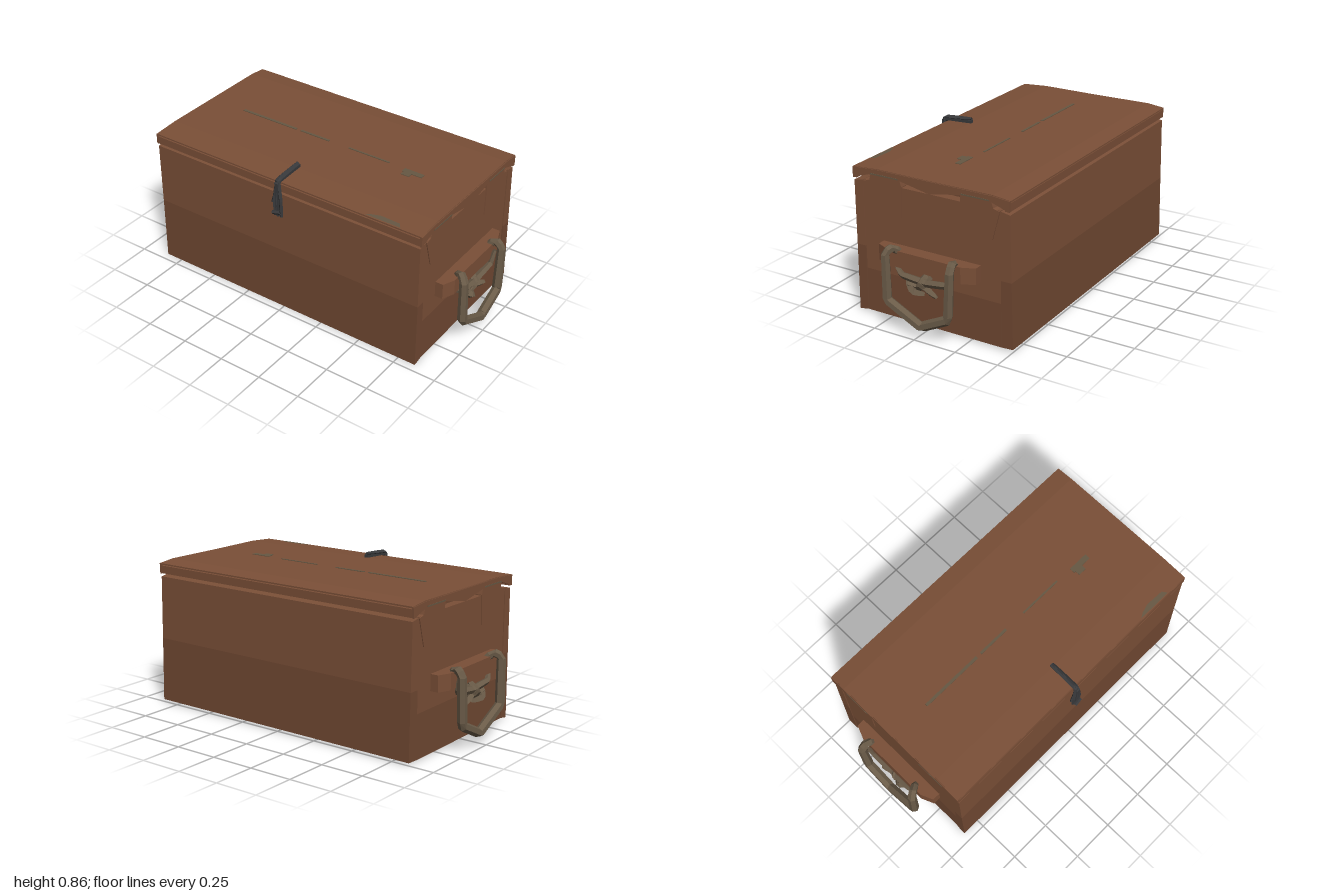
import * as THREE from 'three';

const mat = (name, color, side = THREE.FrontSide) => {
  const m = new THREE.MeshStandardMaterial({ color, side });
  m.name = name;
  m.flatShading = true;
  return m;
};

export function createModel() {
  const root = new THREE.Group();
  root.name = 'chest';
  const wood = mat('brown wood', 0x7a4f37);
  const woodDark = mat('shaded wood', 0x704832);
  const floorWood = mat('dark floor wood', 0x4f3727);
  const rope = mat('worn handle', 0x6a5b48, THREE.DoubleSide);
  const iron = mat('dark iron', 0x38393b, THREE.DoubleSide);
  const patch = mat('worn patch', 0x665743, THREE.DoubleSide);

  const add = (parent, name, geo, m) => {
    const mesh = new THREE.Mesh(geo, m);
    mesh.name = name;
    parent.add(mesh);
    return mesh;
  };
  const box = (parent, name, m, x0, x1, y0, y1, z0, z1) =>
    add(parent, name, new THREE.BoxGeometry(x1 - x0, y1 - y0, z1 - z0), m)
      .position.set((x0 + x1) / 2, (y0 + y1) / 2, (z0 + z1) / 2);
  // Extrudes a [z, y] outline from x0 to x1
  const slab = (parent, name, m, pts, x0, x1) => {
    const shape = new THREE.Shape(pts.map(([z, y]) => new THREE.Vector2(-z, y)));
    const geo = new THREE.ExtrudeGeometry(shape, { depth: x1 - x0, bevelEnabled: false });
    geo.rotateY(Math.PI / 2).translate(x0, 0, 0);
    return add(parent, name, geo, m);
  };
  // Angular rod through a few points, optionally tapering to its ends
  const rod = (parent, name, m, pts, r, sides = 6, taper = 0) => {
    const path = new THREE.CurvePath();
    const v = pts.map((p) => new THREE.Vector3(...p));
    for (let i = 1; i < v.length; i++) path.add(new THREE.LineCurve3(v[i - 1], v[i]));
    const n = v.length * 5;
    const geo = new THREE.TubeGeometry(path, n, r, sides, false);
    const pos = geo.attributes.position;
    const p = new THREE.Vector3();
    for (let i = 0; i <= n; i++) {
      const c = path.getPointAt(i / n);
      const s = 1 - taper * Math.abs((2 * i) / n - 1) ** 3;
      for (let j = 0; j <= sides; j++) {
        const k = i * (sides + 1) + j;
        p.fromBufferAttribute(pos, k).sub(c).multiplyScalar(s).add(c);
        pos.setXYZ(k, p.x, p.y, p.z);
      }
    }
    geo.computeVertexNormals();
    return add(parent, name, geo, m);
  };

  // Front and back walls, two planks each
  const body = new THREE.Group();
  body.name = 'body';
  root.add(body);
  slab(body, 'frontUpperPlank', wood, [[0.452, 0.38], [0.452, 0.74], [0.4, 0.748], [0.4, 0.38]], -0.853, 0.853);
  slab(body, 'frontLowerPlank', woodDark, [[0.454, 0.002], [0.452, 0.38], [0.4, 0.38], [0.4, 0.012]], -0.853, 0.853);
  slab(body, 'backUpperPlank', wood, [[-0.432, 0.38], [-0.432, 0.748], [-0.485, 0.738], [-0.492, 0.38]], -0.853, 0.853);
  slab(body, 'backLowerPlank', woodDark, [[-0.432, 0.012], [-0.432, 0.38], [-0.492, 0.38], [-0.5, 0.016]], -0.853, 0.853);
  box(body, 'floor', floorWood, -0.81, 0.81, 0.022, 0.04, -0.432, 0.4);

  // Lid top with slightly dropped edges, and front and back bands
  const lid = new THREE.Group();
  lid.name = 'lid';
  root.add(lid);
  slab(lid, 'lidFrontPlank', wood, [[0.453, 0.815], [0.3, 0.825], [-0.018, 0.824], [-0.018, 0.815], [0.3, 0.815], [0.453, 0.807]], -0.857, 0.857);
  slab(lid, 'lidBackPlank', wood, [[-0.018, 0.824], [-0.39, 0.826], [-0.49, 0.815], [-0.49, 0.807], [-0.39, 0.815], [-0.018, 0.815]], -0.857, 0.857);
  box(lid, 'frontBand', wood, -0.862, 0.862, 0.757, 0.801, 0.43, 0.454);
  box(lid, 'backBand', wood, -0.862, 0.862, 0.757, 0.801, -0.486, -0.46);

  for (const s of [1, -1]) {
    const end = new THREE.Group();
    end.name = s > 0 ? 'leftEnd' : 'rightEnd';
    end.scale.x = s;
    root.add(end);

    // End wall of three planks with raised tabs under the lid
    box(end, 'lowerEndPlank', woodDark, 0.8, 0.85, 0.01, 0.253, -0.428, 0.396);
    box(end, 'middleEndPlank', wood, 0.8, 0.85, 0.253, 0.5, -0.428, 0.396);
    box(end, 'upperEndPlank', wood, 0.8, 0.85, 0.5, 0.75, -0.428, 0.396);
    slab(end, 'frontTab', wood, [[0.35, 0.59], [0.395, 0.745], [0.355, 0.755], [0.345, 0.79], [0.165, 0.79], [0.155, 0.755], [0.163, 0.59]], 0.815, 0.855);
    slab(end, 'backTab', wood, [[-0.195, 0.59], [-0.2, 0.79], [-0.38, 0.79], [-0.39, 0.755], [-0.427, 0.745], [-0.385, 0.59]], 0.815, 0.855);

    // Scalloped lid skirt
    slab(end, 'lidSkirt', wood, [[0.454, 0.755], [0.35, 0.79], [0.16, 0.79], [-0.02, 0.755], [-0.2, 0.79],
      [-0.38, 0.79], [-0.486, 0.755], [-0.488, 0.813], [-0.39, 0.822], [0.3, 0.822], [0.454, 0.813]], 0.85, 0.862);
    box(end, 'skirtWear', patch, 0.861, 0.864, 0.792, 0.799, 0.17, 0.34);
    box(end, 'skirtWear', patch, 0.861, 0.864, 0.792, 0.799, -0.37, -0.21);

    // Bar that carries the handle, chamfered at both ends
    const outline = new THREE.Shape([[0.85, 0.28], [0.895, 0.28], [0.925, 0.21], [0.925, -0.24], [0.895, -0.313], [0.85, -0.313]]
      .map(([x, z]) => new THREE.Vector2(x, -z)));
    const bar = new THREE.ExtrudeGeometry(outline, { depth: 0.09, bevelEnabled: false });
    bar.rotateX(-Math.PI / 2).translate(0, 0.345, 0);
    add(end, 'handleBar', bar, wood);

    // Hanging handle, hooked over the bar
    rod(end, 'handle', rope, [[0.885, 0.4, 0.14], [0.93, 0.455, 0.165], [0.965, 0.435, 0.188], [0.968, 0.17, 0.183],
      [0.967, 0.068, -0.022], [0.968, 0.15, -0.19], [0.968, 0.42, -0.205], [0.93, 0.455, -0.2], [0.885, 0.4, -0.185]], 0.027, 6, 0.25);

    // Frayed binding knotted below the bar
    rod(end, 'binding', rope, [[0.9, 0.34, 0.17], [0.925, 0.31, 0.12], [0.92, 0.295, -0.03], [0.925, 0.315, -0.17],
      [0.94, 0.4, -0.185]], 0.021, 5, 0.5);
    const strands = [
      [[0.9, 0.28, 0.1], [0.94, 0.24, 0.04], [0.91, 0.225, -0.01]],
      [[0.93, 0.27, 0.08], [0.9, 0.26, 0], [0.935, 0.24, -0.1]],
      [[0.89, 0.34, -0.02], [0.935, 0.29, 0], [0.9, 0.23, 0.03]],
      [[0.88, 0.25, 0.07], [0.93, 0.28, -0.01], [0.89, 0.32, -0.04]],
    ];
    for (const pts of strands) rod(end, 'knotStrand', rope, pts, 0.021, 4, 0.5);
  }

  // Latch strap folded over the front edge of the lid
  const latch = new THREE.Group();
  latch.name = 'latch';
  root.add(latch);
  slab(latch, 'latchStrap', iron, [[0.29, 0.845], [0.47, 0.834], [0.487, 0.82], [0.484, 0.62], [0.468, 0.615],
    [0.468, 0.8], [0.455, 0.82], [0.29, 0.828]], -0.018, 0.004);
  for (const [top, low] of [[-0.012, -0.028], [-0.005, 0.014], [-0.008, -0.008]]) {
    rod(latch, 'latchStrand', iron, [[top, 0.85, 0.295], [top, 0.835, 0.47], [low, 0.72, 0.478], [low, 0.615, 0.475]], 0.012, 4, 0.3);
  }
  rod(latch, 'latchPin', iron, [[-0.03, 0.64, 0.492], [0.016, 0.65, 0.488]], 0.012, 5);
  rod(latch, 'latchSpur', iron, [[-0.008, 0.825, 0.47], [-0.045, 0.69, 0.474]], 0.006, 4);

  // Worn patches along the lid seam and edges: x from, x to, z from, z to
  const wear = [[-0.62, -0.25, -0.028, -0.012], [-0.22, -0.03, -0.028, -0.014], [0.1, 0.36, -0.026, -0.016],
    [0.46, 0.58, -0.02, 0.012], [0.47, 0.52, 0.01, 0.04]];
  for (const [x0, x1, z0, z1] of wear) box(root, 'seamWear', patch, x0, x1, 0.822, 0.8275, z0, z1);
  const edgeWear = new THREE.Shape([[0.52, -0.447], [0.73, -0.447], [0.71, -0.42], [0.6, -0.415], [0.55, -0.43]]
    .map((p) => new THREE.Vector2(...p)));
  const edge = new THREE.ShapeGeometry(edgeWear);
  edge.rotateX(-Math.PI / 2 + 0);
  const ep = edge.attributes.position;
  for (let i = 0; i < ep.count; i++) ep.setY(i, 0.8165 + (0.453 - ep.getZ(i)) * 0.0654);
  add(root, 'edgeWear', edge, patch);
  return root;
}
